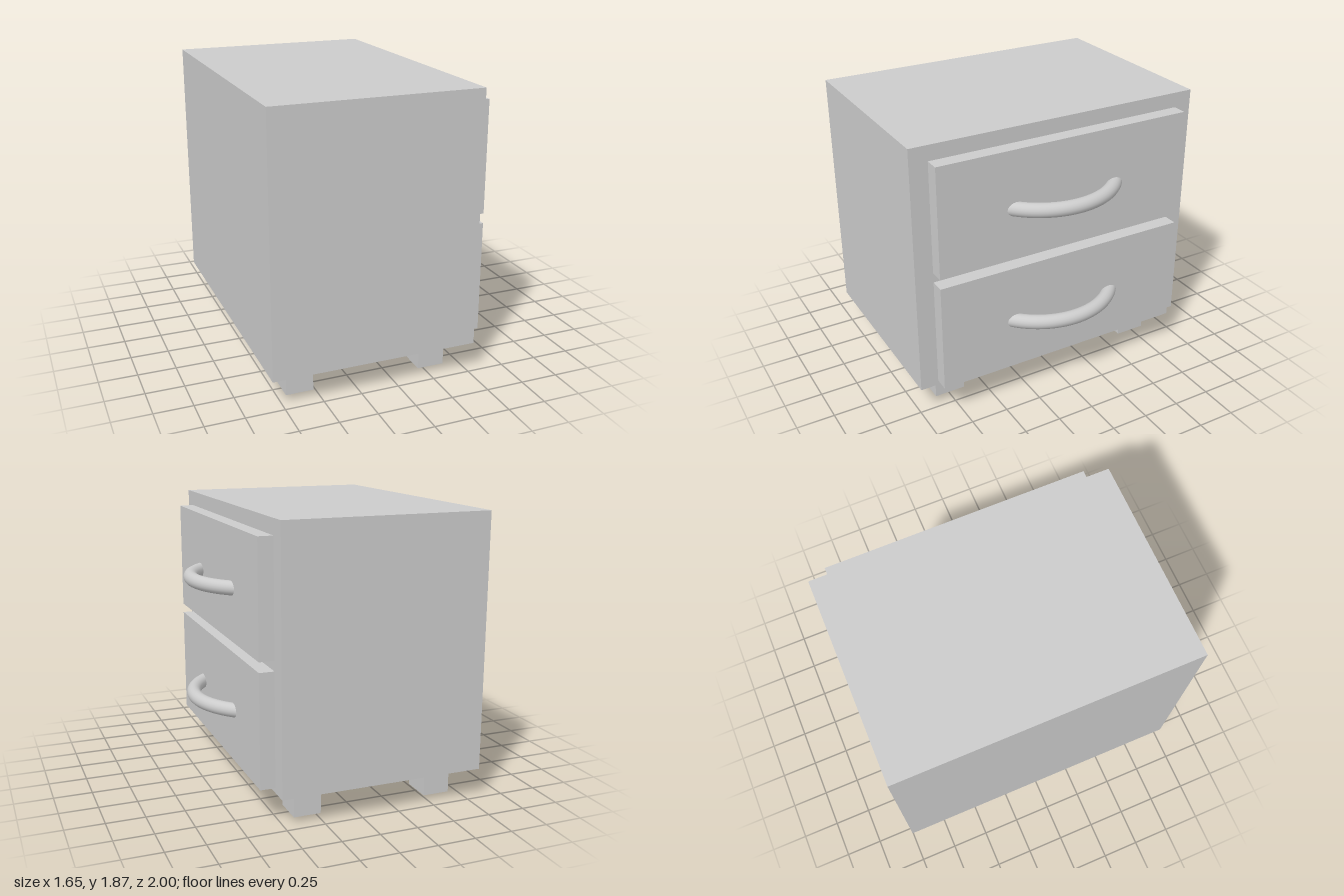
import * as THREE from 'three';

const material = new THREE.MeshStandardMaterial({ color: 0xcccccc });

// Box given by its limits on each axis
function box(name, [x0, x1], [y0, y1], [z0, z1]) {
  const mesh = new THREE.Mesh(new THREE.BoxGeometry(x1 - x0, y1 - y0, z1 - z0), material);
  mesh.position.set((x0 + x1) / 2, (y0 + y1) / 2, (z0 + z1) / 2);
  mesh.name = name;
  return mesh;
}

export function createModel() {
  const model = new THREE.Group();
  model.name = 'nightstand';

  // Cabinet body
  model.add(box('cabinet', [-0.825, 0.53], [0.2, 1.867], [-1, 1]));

  // Four square legs
  for (const [end, x] of [['back', [-0.693, -0.513]], ['front', [0.217, 0.397]]]) {
    model.add(box(end + 'LegA', x, [0, 0.2], [0.635, 0.843]));
    model.add(box(end + 'LegB', x, [0, 0.2], [-0.843, -0.635]));
  }

  // Curved handle: a torus arc whose ends sink into the drawer front
  const halfArc = THREE.MathUtils.degToRad(55);
  const handleGeometry = new THREE.TorusGeometry(0.5, 0.047, 20, 40, halfArc * 2)
    .rotateZ(-halfArc)
    .rotateX(Math.PI / 2);

  // Two drawers, each a raised front with its handle
  for (const [name, bottom] of [['lowerDrawer', 0.232], ['upperDrawer', 1.032]]) {
    const drawer = new THREE.Group();
    drawer.name = name;
    drawer.add(box('drawerFront', [0.53, 0.627], [bottom, bottom + 0.735], [-0.88, 0.88]));
    const handle = new THREE.Mesh(handleGeometry, material);
    handle.name = 'handle';
    handle.position.set(0.275, bottom + 0.345, 0);
    drawer.add(handle);
    model.add(drawer);
  }
  return model;
}
